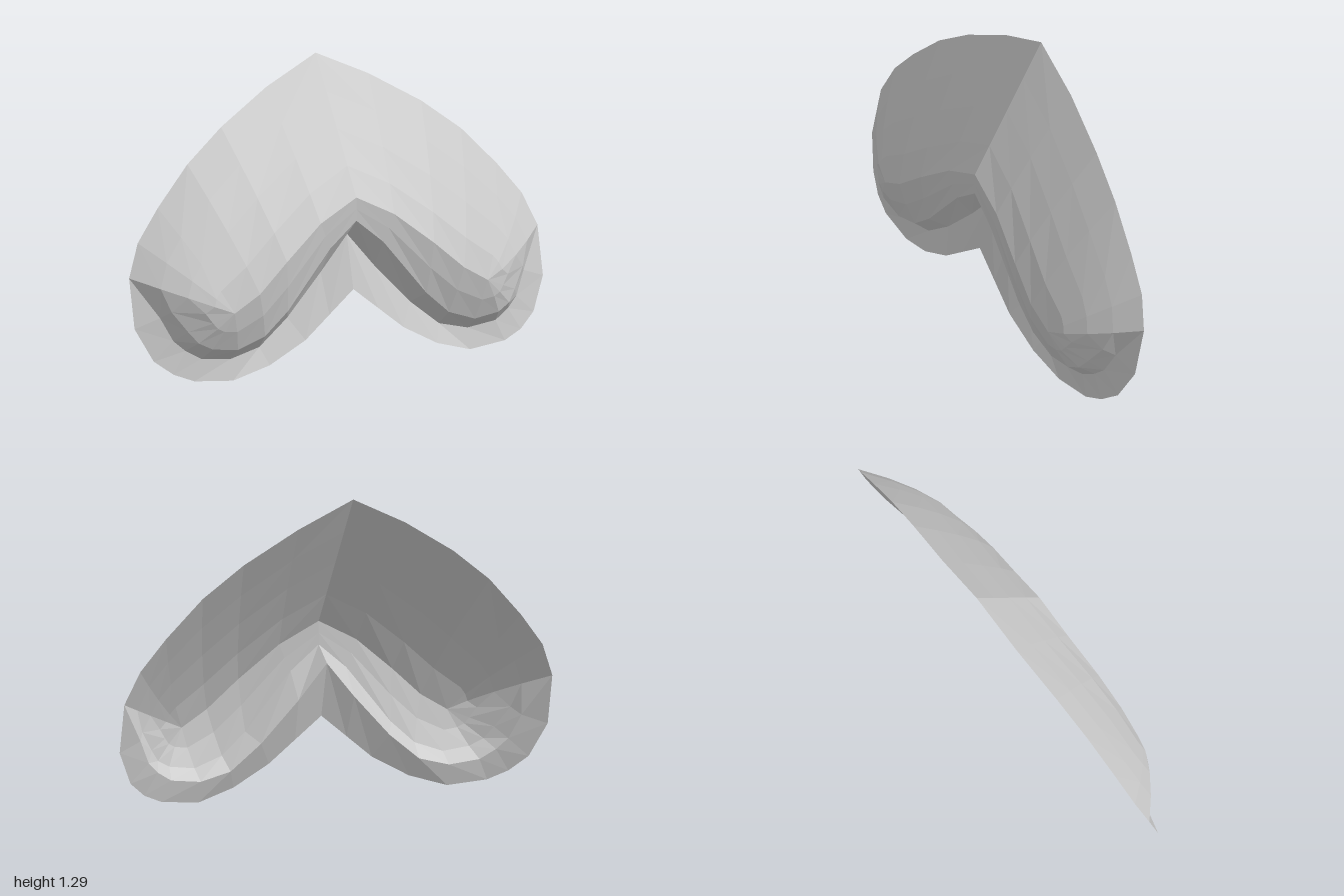
import * as THREE from 'three';

// Spine along the crest of one lobe, from the middle outwards
const spine = [[0, .73, .145], [.18, .64, .155], [.36, .5, .18], [.5, .38, .193], [.62, .31, .187]];

// Upper ribs: rim point and the spine point each one climbs to
const upper = [
  [[0, 1.29, -.19], 0], [[.25, 1.175, -.175], 1], [[.49, 1.035, -.145], 2], [[.67, .9, -.12], 3],
  [[.83, .735, -.095], 4], [[.94, .6, -.075], 4], [[1, .46, -.045], 4],
];

// Lower ribs: rim, crease behind the pouch, lip of the pouch, spine point
const lower = [
  [[1, .25, 0], [.89, .29, .025], [.86, .32, .07], 4],
  [[.93, .11, .04], [.84, .19, .05], [.8, .235, .105], 4],
  [[.85, .05, .07], [.79, .145, .065], [.76, .185, .125], 4],
  [[.76, .015, .09], [.72, .105, .08], [.7, .155, .14], 4],
  [[.58, 0, .105], [.58, .09, .085], [.58, .14, .145], 4],
  [[.41, .05, .122], [.44, .125, .085], [.45, .185, .15], 3],
  [[.24, .14, .13], [.3, .235, .08], [.34, .28, .152], 2],
  [[.12, .235, .125], [.13, .41, .07], [.13, .525, .148], 1],
  [[0, .33, .12], [0, .56, .065], [0, .63, .145], 0],
];

// Point between a and b; a power above 1 swells it forward
function between(a, b, t, power) {
  const f = 1 - Math.pow(1 - t, power);
  return [a[0] + (b[0] - a[0]) * t, a[1] + (b[1] - a[1]) * t, a[2] + (b[2] - a[2]) * f];
}

function lobeGeometry() {
  const ribs = [];
  upper.forEach(([rim, s], i) => {
    const power = 1 + 0.5 * i / 6;
    const mids = [.27, .52, .78].map(t => between(rim, spine[s], t, power));
    ribs.push([rim, ...mids, spine[s]]);
  });
  lower.forEach(([rim, crease, lip, s]) => {
    ribs.push([rim, crease, lip, between(lip, spine[s], .5, 1.6), spine[s]]);
  });

  // Skin neighbouring ribs
  const positions = [];
  for (let j = 0; j < ribs.length - 1; j++) {
    for (let r = 0; r < 4; r++) {
      const a = ribs[j][r], b = ribs[j + 1][r], c = ribs[j + 1][r + 1], d = ribs[j][r + 1];
      positions.push(...a, ...c, ...b);
      if (c !== d) positions.push(...a, ...d, ...c);
    }
  }
  const geometry = new THREE.BufferGeometry();
  geometry.setAttribute('position', new THREE.Float32BufferAttribute(positions, 3));
  geometry.computeVertexNormals();
  return geometry;
}

export function createModel() {
  const group = new THREE.Group();
  group.name = 'lobedShell';
  const material = new THREE.MeshStandardMaterial({
    color: 0xcccccc, flatShading: true, side: THREE.DoubleSide,
  });
  const geometry = lobeGeometry();
  // Mirrored halves
  for (const [name, side] of [['leftLobe', 1], ['rightLobe', -1]]) {
    const lobe = new THREE.Mesh(geometry, material);
    lobe.name = name;
    lobe.scale.x = side;
    group.add(lobe);
  }
  return group;
}
